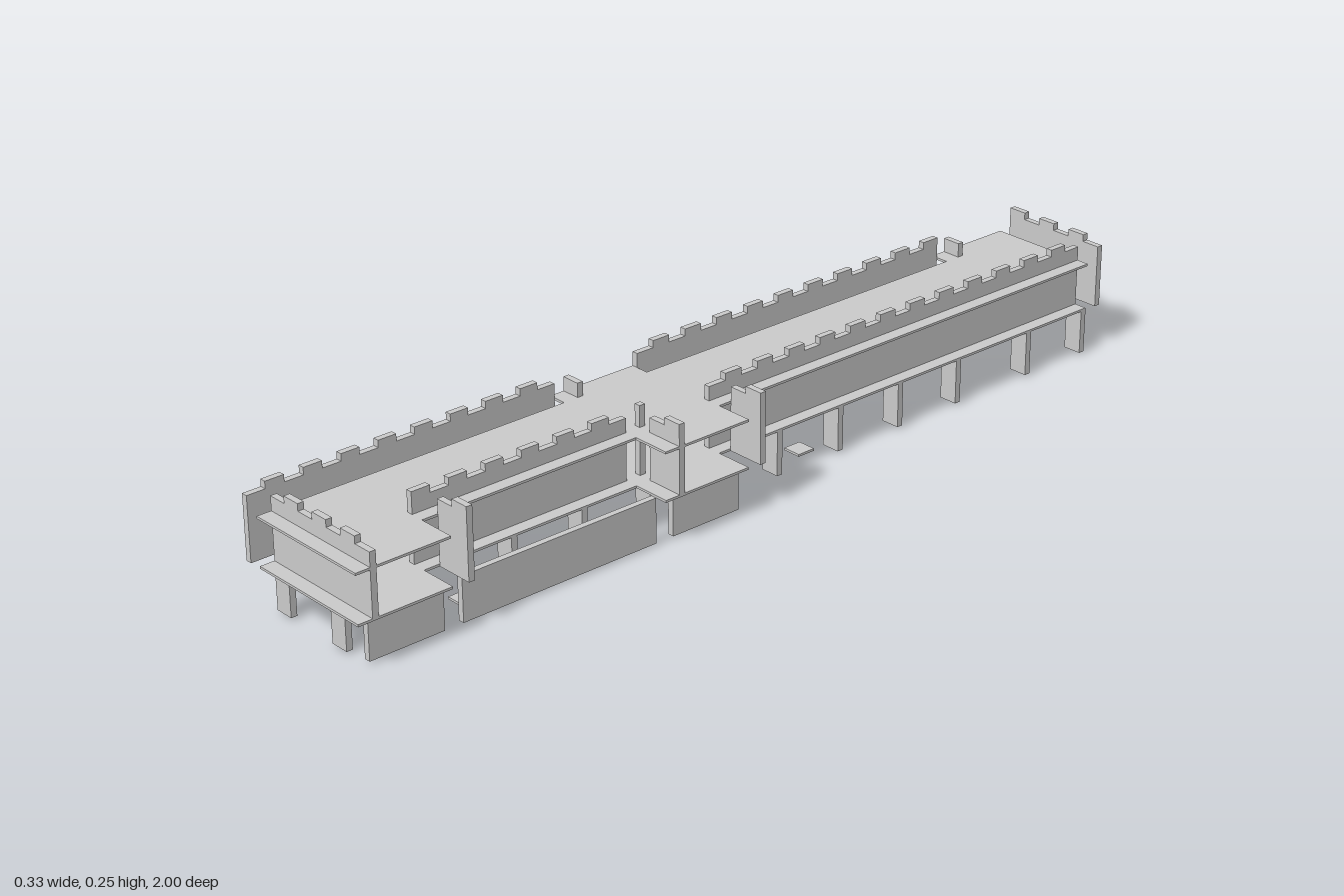
import * as THREE from 'three';

const material = new THREE.MeshStandardMaterial({ color: 0xcccccc, flatShading: true });
const T = 1 / 24;              // tile size
const TH = 0.0135;             // wall thickness
const zt = n => Math.min(1, 0.0013 + n * T); // z of tile line n

export function createModel() {
  const model = new THREE.Group();

  function box(name, x0, x1, y0, y1, z0, z1) {
    const m = new THREE.Mesh(new THREE.BoxGeometry(x1 - x0, y1 - y0, z1 - z0), material);
    m.position.set((x0 + x1) / 2, (y0 + y1) / 2, (z0 + z1) / 2);
    m.name = name;
    model.add(m);
  }

  // Crenellated wall: outline drawn along u, with raised tiles starting at the given u values
  function battlement(name, u0, u1, merlons, place) {
    const s = new THREE.Shape();
    s.moveTo(u0, 0.1);
    s.lineTo(u1, 0.1);
    s.lineTo(u1, 0.235);
    for (const m of [...merlons].sort((a, b) => b - a)) {
      const hi = Math.min(m + T, u1), lo = Math.max(m, u0);
      s.lineTo(hi, 0.235);
      s.lineTo(hi, 0.25);
      s.lineTo(lo, 0.25);
      s.lineTo(lo, 0.235);
    }
    s.lineTo(u0, 0.235);
    const g = new THREE.ExtrudeGeometry(s, { depth: TH, bevelEnabled: false });
    place(g);
    const m = new THREE.Mesh(g, material);
    m.name = name;
    model.add(m);
  }
  const acrossWall = (name, x0, x1, z, merlons) =>
    battlement(name, x0, x1, merlons, g => g.translate(0, 0, z));
  const alongWall = (name, x, n0, n1) => {
    const merlons = [];
    for (let n = n0; n < n1; n++) if (n % 2 === 0) merlons.push(zt(n));
    battlement(name, zt(n0), zt(n1), merlons, g => g.rotateY(-Math.PI / 2).translate(x + TH, 0, 0));
  };

  // Floor and roof slabs share one stepped plan, in tiles
  const plan = [[-4, -23], [2, -23], [2, 2], [4, 2], [4, 7], [2, 7], [2, 19], [4, 19],
    [4, 24], [-3, 24], [-3, 7], [-4, 7], [-4, 2], [-3, 2], [-3, -18], [-4, -18]];
  const outline = new THREE.Shape(plan.map(([x, n]) => new THREE.Vector2(x * T, -zt(n))));
  for (const [name, y] of [['floorSlab', 0.1], ['roofSlab', 0.2]]) {
    const g = new THREE.ExtrudeGeometry(outline, { depth: 0.005, bevelEnabled: false });
    g.rotateX(-Math.PI / 2).translate(0, y, 0);
    const m = new THREE.Mesh(g, material);
    m.name = name;
    model.add(m);
  }

  // Long battlement walls on both sides
  alongWall('rightLongWallBack', -4 * T, -18, 2);
  alongWall('rightLongWallFront', -4 * T, 7, 24);
  alongWall('leftLongWallBack', T, -23, 2);
  alongWall('leftLongWallFront', T, 7, 19);

  // End walls
  acrossWall('frontEndWall', -3 * T, 4 * T, 0.955, [-2 * T, 0, 2 * T]);
  acrossWall('backEndWall', -4 * T, 2 * T, -1, [-4 * T, -2 * T, 0]);

  // Short return walls beside the wider bays
  for (const z of [0.041, 0.246, 0.744]) acrossWall('leftReturnWall', 2 * T, 4 * T, z, [3 * T]);
  for (const z of [-0.797, 0.246]) acrossWall('rightReturnWall', -4 * T, -3 * T, z, []);
  box('crossingPost', T, T + TH, 0.1, 0.25, 0.246, 0.2595);

  // Low walls beneath the floor
  for (const [n0, n1] of [[2, 6], [7, 18], [19, 23]])
    box('leftLowWall', 3 * T, 3 * T + TH, 0.005, 0.1, zt(n0), zt(n1));
  for (const [n0, n1] of [[-23, -19], [2, 6]])
    box('rightLowWall', -4 * T, -4 * T + TH, 0.005, 0.1, zt(n0), zt(n1));

  // Two rows of legs
  for (const z of [-0.951, -0.783, -0.574, -0.407, -0.24, -0.075, 0.092, 0.253, 0.42, 0.587, 0.795, 0.962])
    for (const x of [-3 * T, T])
      box('leg', x, x + T, 0.005, 0.1, z - TH / 2, z + TH / 2);

  // Small ground plates
  for (const [x, z] of [[0, -0.187], [T, 0.69], [2 * T, 0.39]])
    box('groundPlate', x, x + T, 0, 0.005, z - T / 2, z + T / 2);

  return model;
}
